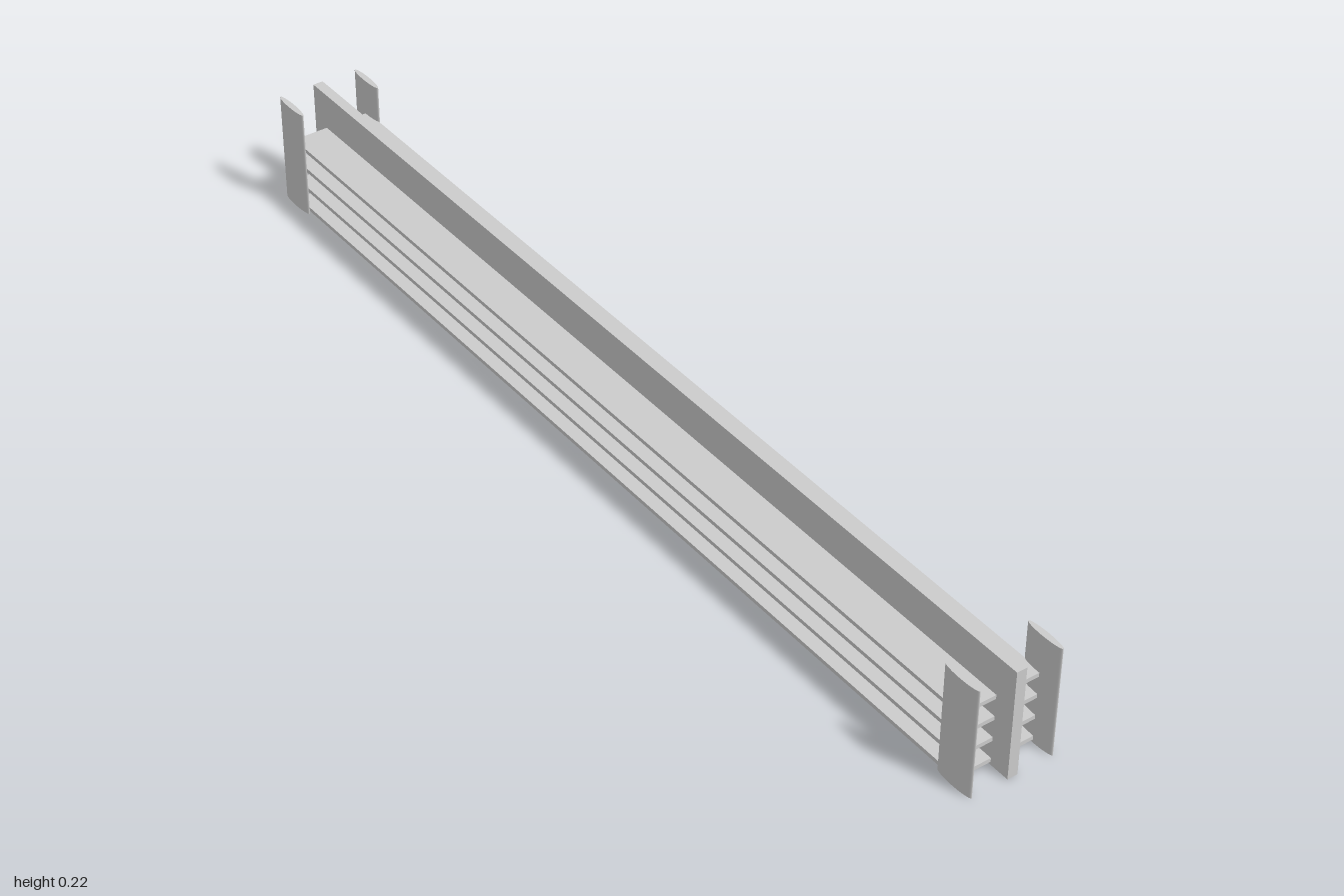
import * as THREE from 'three';

const HEIGHT = 0.218;

export function createModel() {
  const group = new THREE.Group();
  const material = new THREE.MeshStandardMaterial({ color: 0xcccccc });

  const add = (name, geometry, x, y, z) => {
    const mesh = new THREE.Mesh(geometry, material);
    mesh.name = name;
    mesh.position.set(x, y, z);
    group.add(mesh);
    return mesh;
  };

  // Upright board running the full length
  add('centreBoard', new THREE.BoxGeometry(2, HEIGHT, 0.02), 0, HEIGHT / 2, 0);

  // Four thin slats on each face of the board
  const slat = new THREE.BoxGeometry(1.92, 0.008, 0.07);
  // Slim end plates with an elliptical cross-section
  const plate = new THREE.CylinderGeometry(1, 1, HEIGHT, 48).scale(0.04, 1, 0.006);

  for (const side of [1, -1]) {
    const face = side > 0 ? 'front' : 'back';
    for (let i = 0; i < 4; i++) {
      add(`${face}Slat${i + 1}`, slat, 0, 0.01 + i * 0.0433, side * 0.045);
    }
    for (const end of [1, -1]) {
      add(`${face}${end > 0 ? 'Left' : 'Right'}EndPlate`, plate, end * 0.96, HEIGHT / 2, side * 0.081);
    }
  }
  return group;
}
